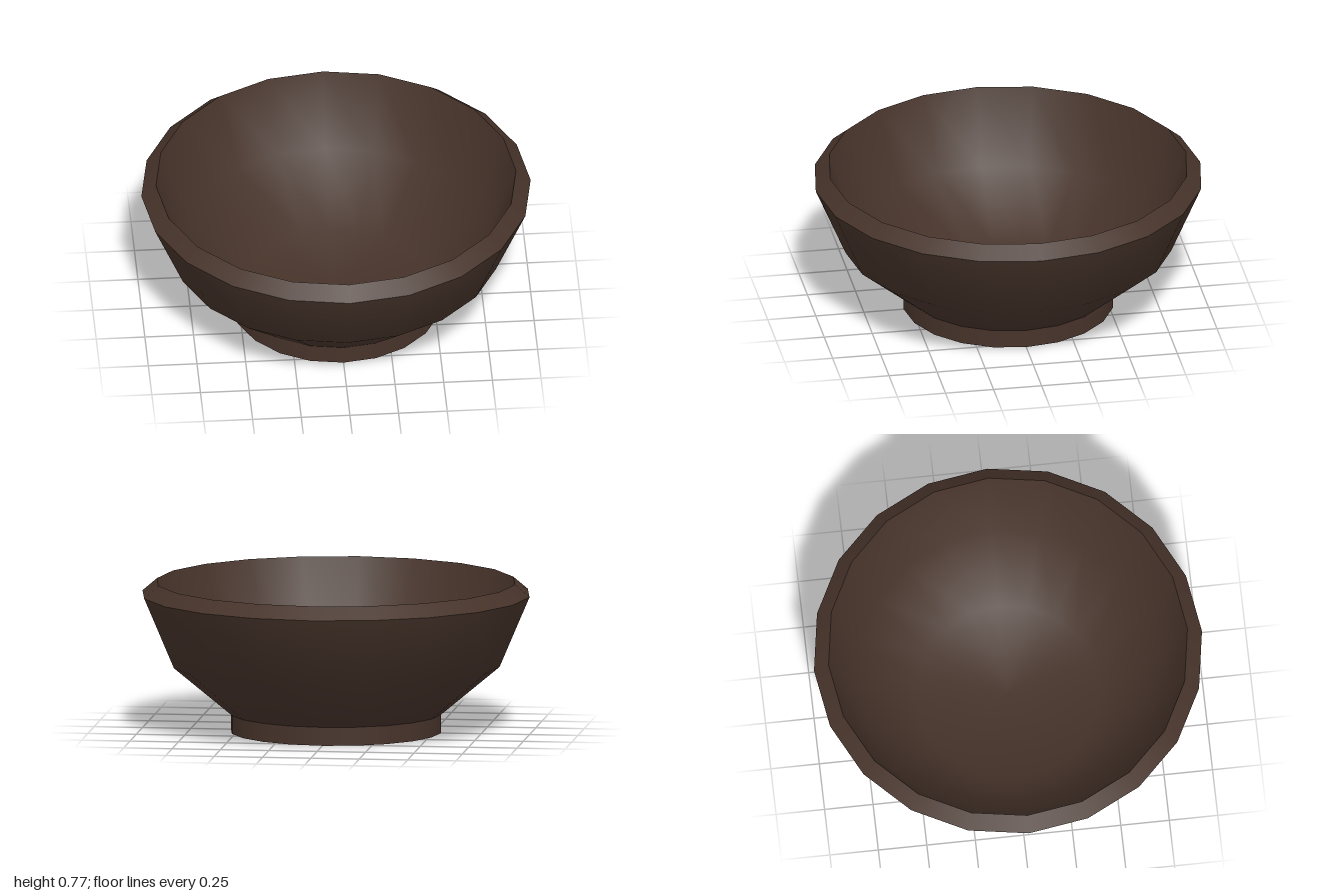
import * as THREE from 'three';

const SIDES = 20;

export function createModel() {
  const group = new THREE.Group();
  group.name = 'bowl';
  const darkWood = new THREE.MeshStandardMaterial({ color: 0x46332a });
  darkWood.name = 'darkWood';

  // Each band is smooth in itself; separate bands keep the edges between them sharp
  const addBand = (name, profile) => {
    const points = profile.map(([r, y]) => new THREE.Vector2(r, y));
    const mesh = new THREE.Mesh(new THREE.LatheGeometry(points, SIDES), darkWood);
    mesh.name = name;
    group.add(mesh);
  };

  // Profile runs from the base centre, up the outside, over the rim and down inside
  addBand('footBase', [[0, 0], [0.543, 0]]);
  addBand('footRing', [[0.543, 0], [0.543, 0.095]]);
  addBand('outerWall', [[0.543, 0.095], [0.845, 0.347], [1, 0.711]]);
  addBand('rim', [[1, 0.711], [0.925, 0.775]]);
  addBand('innerWall', [[0.925, 0.775], [0.78, 0.39], [0.47, 0.1], [0, 0.09]]);

  return group;
}
